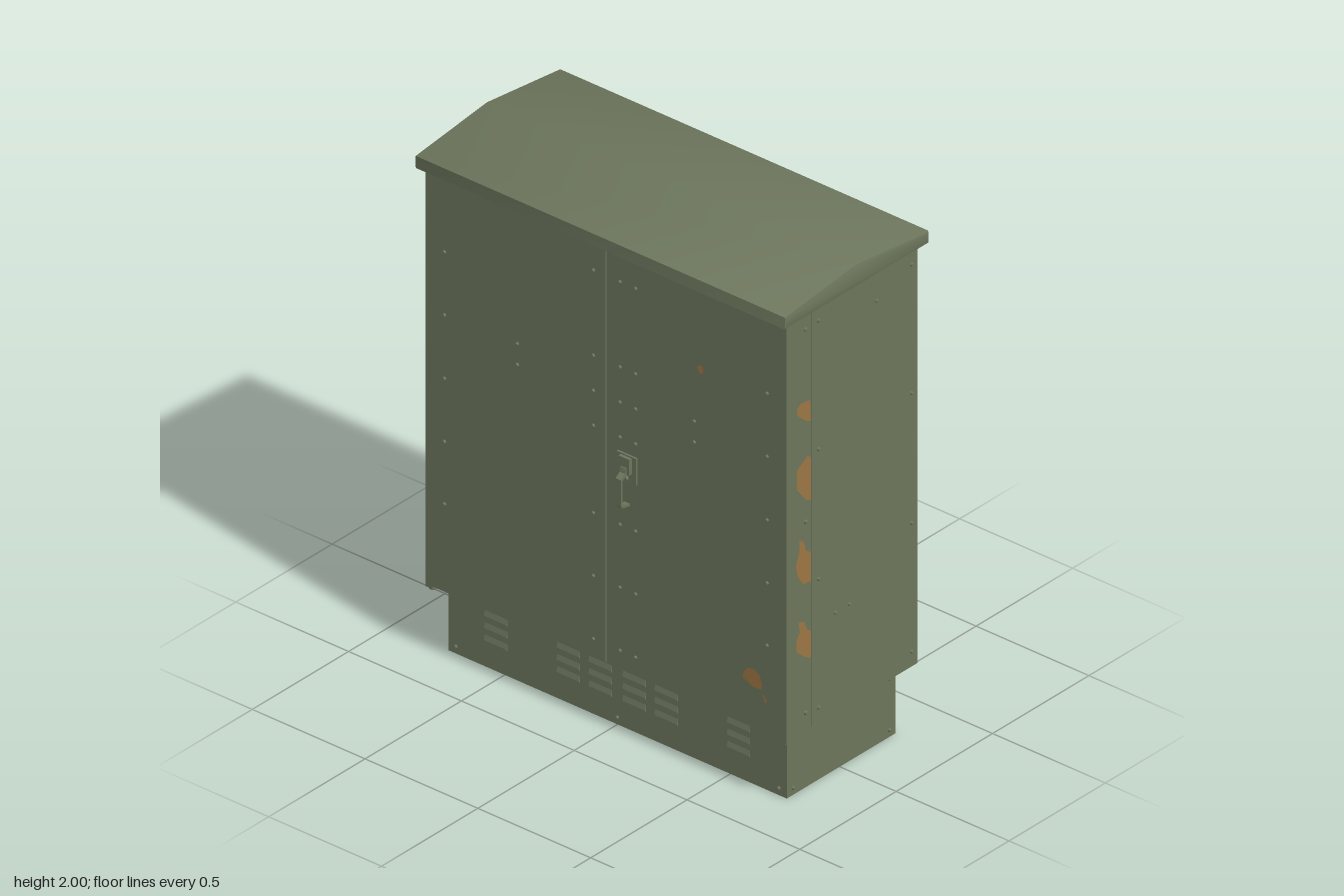
import * as THREE from 'three';
import { mergeGeometries, toCreasedNormals } from 'three/addons/utils/BufferGeometryUtils.js';

const olive = new THREE.MeshStandardMaterial({ color: 0x6c755c });
olive.name = 'olive paint';
const rust = new THREE.MeshStandardMaterial({ color: 0x9c7543 });
rust.name = 'rust';

// Turn about y that points local +z out of each wall
const TURN = { front: 0, back: Math.PI, left: Math.PI / 2, right: -Math.PI / 2 };

export function createModel() {
  const model = new THREE.Group();
  model.name = 'outdoorCabinet';

  const add = (name, geometry, material = olive) => {
    const mesh = new THREE.Mesh(geometry, material);
    mesh.name = name;
    model.add(mesh);
    return mesh;
  };
  const box = (name, [x0, x1], [y0, y1], [z0, z1]) => add(name,
    new THREE.BoxGeometry(x1 - x0, y1 - y0, z1 - z0)
      .translate((x0 + x1) / 2, (y0 + y1) / 2, (z0 + z1) / 2));
  const outline = pts => new THREE.Shape(pts.map(([a, b]) => new THREE.Vector2(a, b)));
  // Side outline given as [z, y], extruded along x and centred
  const extrudeX = (pts, width, bevel = 0) => new THREE.ExtrudeGeometry(outline(pts), {
    depth: width, bevelEnabled: bevel > 0, bevelSize: bevel, bevelThickness: bevel, bevelSegments: 2,
  }).translate(0, 0, -width / 2).rotateY(-Math.PI / 2);

  // Plinth, cabinet body and neck under the roof
  box('plinth', [-0.75, 0.75], [0, 0.275], [-0.29, 0.275]);
  box('cabinetBody', [-0.8, 0.8], [0.27, 1.895], [-0.345, 0.204]);
  box('doorFrame', [-0.79, 0.79], [0.275, 1.89], [0.2, 0.215]);
  box('roofNeck', [-0.775, 0.775], [1.89, 1.915], [-0.31, 0.325]);

  // Gabled roof with softened rim
  const b = 0.007;
  const roof = extrudeX([
    [-0.382 + b, 1.91 + b], [0.367 - b, 1.91 + b], [0.367 - b, 1.958 - b],
    [-0.005, 2 - b], [-0.382 + b, 1.958 - b],
  ], 1.64 - 2 * b, b);
  add('roof', toCreasedNormals(roof, 0.5));

  // Double doors and their pivots
  for (const s of [-1, 1]) {
    const side = s < 0 ? 'right' : 'left';
    const span = [0.002 * s, 0.8 * s].sort((p, q) => p - q);
    box(side + 'Door', span, [0.27, 1.9], [0.209, 0.335]);
    const flange = [0.77 * s, 0.8 * s].sort((p, q) => p - q);
    box(side + 'DoorFlange', flange, [0.26, 0.272], [0.209, 0.335]);
    for (const y of [0.26, 1.902]) {
      add(side + 'DoorPivot', new THREE.CylinderGeometry(0.014, 0.014, 0.022, 12)
        .translate(0.785 * s, y, 0.314));
    }
  }

  // Screw heads, each wall merged to one mesh; positions are [across, y]
  const screws = (name, face, dist, spots, r = 0.008) => {
    const heads = spots.map(([u, y]) => new THREE.CylinderGeometry(r * 0.65, r, 0.009, 8)
      .rotateX(Math.PI / 2).translate(u, y, dist + 0.0035));
    add(name, mergeGeometries(heads).rotateY(TURN[face]));
  };
  const grid = (us, ys) => us.flatMap(u => ys.map(y => [u, y]));
  const edgeRows = [1.85, 1.345, 0.835, 0.33];

  screws('doorScrews', 'front', 0.335, [
    ...grid([-0.715, 0.715], [1.605, 1.357, 1.108, 0.86, 0.615]),
    ...grid([-0.055, 0.063, 0.132], [1.79, 1.455, 1.317, 1.18, 0.837, 0.59, 0.342]),
    ...grid([-0.392, 0.392], [1.37, 1.288]),
  ]);
  screws('backScrews', 'back', 0.345, [
    ...grid([-0.775, 0.775], edgeRows),
    ...grid([-0.61, -0.2, 0.2, 0.61], [1.61]),
    [-0.61, 0.505], [-0.2, 0.505], [0.61, 0.505], [-0.54, 0.505],
  ]);
  for (const [face, s] of [['left', -1], ['right', 1]]) {
    screws(face + 'SideScrews', face, 0.8, [
      ...grid([0.17 * s, -0.313 * s], edgeRows),
      [-0.132 * s, 1.79], [0.083 * s, 0.663], [0.01 * s, 0.663],
    ]);
    screws(face + 'HingeScrews', face, 0.8, grid([0.237 * s], [1.845, 1.09, 0.34]), 0.009);
    screws(face + 'PlinthScrews', face, 0.75, grid([0.243 * s, -0.257 * s], [0.23, 0.028]));
  }
  const plinthSpots = grid([-0.716, 0, 0.716], [0.23, 0.028]);
  screws('frontPlinthScrews', 'front', 0.275, plinthSpots);
  screws('backPlinthScrews', 'back', 0.29, plinthSpots);

  // Louvres: small hoods sloping out towards the bottom
  const louvres = (face, dist, out) => {
    const hoods = [];
    for (const u of [-0.538, -0.217, -0.075, 0.075, 0.217, 0.538]) {
      for (const y of [0.195, 0.147, 0.099]) {
        hoods.push(extrudeX([[-0.002, 0.034], [-0.002, 0], [out, 0], [out, 0.006]], 0.1)
          .translate(u, y, dist));
      }
    }
    add(face + 'Louvres', mergeGeometries(hoods).rotateY(TURN[face]));
  };
  louvres('front', 0.275, 0.005);
  louvres('back', 0.29, 0.013);

  // Swing handle on the left door
  const hx = 0.097;
  box('handlePlate', [hx - 0.043, hx + 0.043], [1.022, 1.127], [0.333, 0.343]);
  box('handleHousing', [hx - 0.024, hx + 0.024], [1.06, 1.122], [0.34, 0.356]);
  add('handleLever', extrudeX([
    [0.345, 1.085], [0.36, 1.085], [0.364, 1.066], [0.385, 1.05], [0.385, 0.945], [0.379, 0.937],
    [0.338, 0.928], [0.338, 0.937], [0.373, 0.946], [0.376, 0.952], [0.376, 1.044], [0.345, 1.06],
  ], 0.024).translate(hx, 0, 0));
  add('lockBarrel', new THREE.CylinderGeometry(0.011, 0.011, 0.014, 12)
    .rotateX(Math.PI / 2).translate(hx, 1.037, 0.347));

  // Rust stains as thin faces just above the paint
  const stain = (face, dist, pts) => add(face + 'RustStain',
    new THREE.ShapeGeometry(outline(pts)).translate(0, 0, dist + 0.002).rotateY(TURN[face]), rust);
  // Unevenly rounded stain of a given half width and half height
  const blob = (u, y, w, h) => [1, 0.9, 1.05, 0.85, 1, 0.95, 0.8, 1, 0.9].map((r, i) => {
    const a = i * Math.PI * 2 / 9;
    return [u + Math.cos(a) * w * r, y + Math.sin(a) * h * r];
  });

  stain('front', 0.335, blob(0.42, 1.585, 0.015, 0.018));
  stain('front', 0.335, [[0.607, 0.45], [0.612, 0.475], [0.632, 0.497], [0.66, 0.5], [0.682, 0.485],
    [0.694, 0.455], [0.69, 0.432], [0.655, 0.43], [0.632, 0.44]]);
  stain('front', 0.335, [[0.693, 0.415], [0.703, 0.415], [0.715, 0.395], [0.71, 0.383], [0.702, 0.395]]);
  stain('back', 0.345, blob(-0.635, 0.45, 0.045, 0.036));
  stain('back', 0.345, blob(-0.67, 0.405, 0.012, 0.014));

  const leftStains = [
    [[0.283, 1.55], [0.265, 1.565], [0.215, 1.56], [0.211, 1.475], [0.235, 1.485], [0.28, 1.525]],
    [[0.283, 1.31], [0.26, 1.325], [0.225, 1.345], [0.211, 1.33], [0.211, 1.165], [0.235, 1.175],
      [0.283, 1.235]],
    [[0.27, 1.032], [0.248, 1.015], [0.235, 0.975], [0.211, 0.96], [0.211, 0.845], [0.25, 0.85],
      [0.28, 0.895], [0.288, 0.94], [0.27, 0.985]],
    [[0.275, 0.712], [0.245, 0.7], [0.23, 0.665], [0.211, 0.65], [0.211, 0.545], [0.24, 0.56],
      [0.285, 0.6], [0.286, 0.64], [0.268, 0.67]],
  ];
  for (const pts of leftStains) stain('left', 0.8, pts.map(([z, y]) => [-z, y]));
  for (const [y, h] of [[1.37, 0.08], [1.02, 0.035], [0.765, 0.077], [0.475, 0.062]]) {
    stain('right', 0.8, [[0.211, y - h * 0.8], [0.24, y - h], [0.283, y - h * 0.4],
      [0.285, y + h * 0.5], [0.262, y + h], [0.211, y + h * 0.7]]);
  }
  return model;
}
